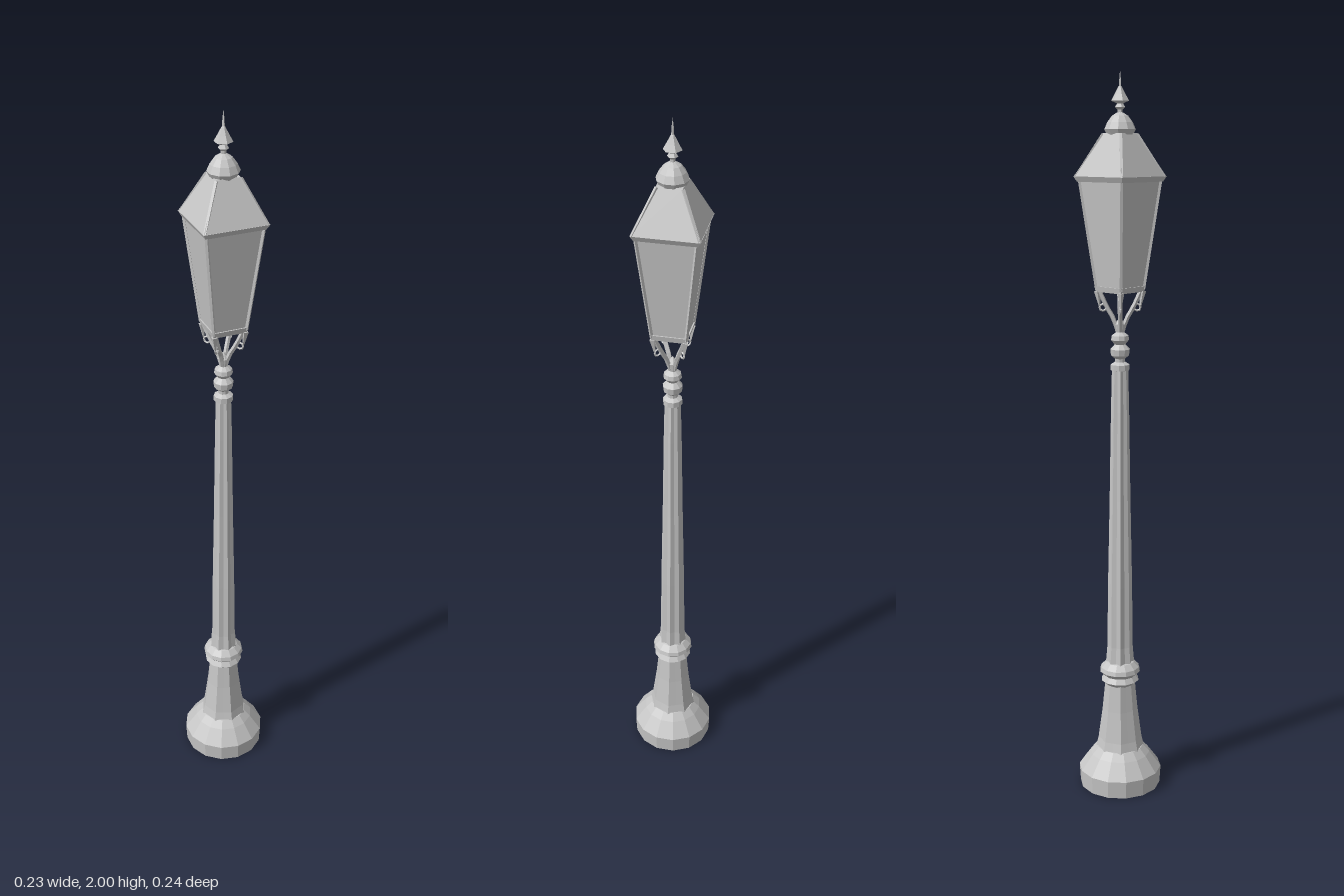
import * as THREE from 'three';

export function createModel() {
  const model = new THREE.Group();
  const iron = new THREE.MeshStandardMaterial({ color: 0xc6c6c6, flatShading: true });
  iron.name = 'greyIron';

  const add = (name, geometry, parent = model) => {
    const mesh = new THREE.Mesh(geometry, iron);
    mesh.name = name;
    parent.add(mesh);
    return mesh;
  };

  // Turned part from [radius, height] pairs, bottom to top; flute < 1 pulls in every other edge
  const turned = (name, profile, sides, flute = 1) => {
    const geometry = new THREE.LatheGeometry(profile.map(([r, y]) => new THREE.Vector2(r, y)), sides);
    const p = geometry.attributes.position;
    for (let i = 0; i < p.count; i++) {
      if (Math.floor(i / profile.length) % 2) p.setXYZ(i, p.getX(i) * flute, p.getY(i), p.getZ(i) * flute);
    }
    return add(name, geometry);
  };

  // Square tapered block given half widths at the bottom and top
  const squareTaper = (name, lower, upper, y0, y1) => {
    const geometry = new THREE.CylinderGeometry(upper * Math.SQRT2, lower * Math.SQRT2, y1 - y0, 4);
    geometry.rotateY(Math.PI / 4).translate(0, (y0 + y1) / 2, 0);
    return add(name, geometry);
  };

  // Straight bar between two points
  const bar = (name, a, b, radius, parent) => {
    const direction = b.clone().sub(a);
    const mesh = add(name, new THREE.CylinderGeometry(radius, radius, direction.length(), 4), parent);
    mesh.position.copy(a).add(b).multiplyScalar(0.5);
    mesh.quaternion.setFromUnitVectors(new THREE.Vector3(0, 1, 0), direction.normalize());
  };

  // Foot and pedestal
  turned('foot', [[0, 0], [0.115, 0], [0.118, 0.05], [0.085, 0.095], [0.066, 0.115], [0, 0.12]], 14);
  turned('pedestal', [[0.07, 0.105], [0.062, 0.14], [0.05, 0.23], [0.042, 0.315], [0, 0.32]], 16, 0.92);
  turned('pedestalRing', [[0, 0.3], [0.04, 0.305], [0.054, 0.318], [0.045, 0.332], [0.058, 0.345],
    [0.055, 0.357], [0.04, 0.372], [0, 0.385]], 12);

  // Fluted post
  turned('post', [[0.041, 0.36], [0.036, 0.42], [0.034, 0.6], [0.029, 0.85], [0.025, 1.1], [0.022, 1.225], [0, 1.225]], 16, 0.85);

  // Collar rings and neck
  turned('collar', [[0, 1.21], [0.026, 1.215], [0.026, 1.23], [0.014, 1.237], [0.014, 1.246], [0.025, 1.255],
    [0.027, 1.272], [0.015, 1.285], [0.025, 1.297], [0.023, 1.309], [0.011, 1.318], [0.014, 1.34], [0, 1.36]], 10);

  // Four branching arms with a drooping leaf at each lantern corner
  const cradle = new THREE.Group();
  cradle.name = 'lanternCradle';
  model.add(cradle);
  for (let i = 0; i < 4; i++) {
    const arm = new THREE.Group();
    arm.name = 'cradleArm';
    arm.rotation.y = Math.PI / 4 + i * Math.PI / 2;
    cradle.add(arm);
    const armPath = new THREE.CatmullRomCurve3([[0.006, 1.32], [0.018, 1.355], [0.035, 1.385], [0.058, 1.435]]
      .map(([x, y]) => new THREE.Vector3(x, y, 0)));
    add('armStem', new THREE.TubeGeometry(armPath, 6, 0.0065, 5), arm);
    const leaf = add('armLeaf', new THREE.ConeGeometry(0.009, 0.055, 4), arm);
    leaf.position.set(0.057, 1.402, 0);
    leaf.rotation.z = Math.PI - 0.15;
    const scroll = add('armScroll', new THREE.TorusGeometry(0.009, 0.003, 4, 8), arm);
    scroll.position.set(0.046, 1.385, 0);
  }

  // Glazed lantern body with its sill and corner frames
  squareTaper('lanternBody', 0.044, 0.075, 1.43, 1.72);
  squareTaper('lanternSill', 0.046, 0.049, 1.427, 1.442);
  const frame = new THREE.Group();
  frame.name = 'lanternFrame';
  model.add(frame);
  const corners = (half, y) => [[1, 1], [1, -1], [-1, -1], [-1, 1]].map(([x, z]) => new THREE.Vector3(x * half, y, z * half));
  const low = corners(0.045, 1.435), high = corners(0.076, 1.72);
  const eave = corners(0.083, 1.728), crown = corners(0.032, 1.838);
  for (let i = 0; i < 4; i++) {
    bar('cornerBar', low[i], high[i], 0.005, frame);
    bar('roofRib', eave[i], crown[i], 0.005, frame);
    bar('topRail', high[i], high[(i + 1) % 4], 0.004, frame);
  }

  // Roof with a thin eave
  squareTaper('eave', 0.08, 0.087, 1.716, 1.73);
  squareTaper('roof', 0.086, 0.032, 1.73, 1.84);

  // Vent cap, finial and spike
  turned('ventCap', [[0, 1.83], [0.034, 1.835], [0.042, 1.85], [0.034, 1.868], [0.022, 1.884], [0.009, 1.892], [0, 1.895]], 10);
  turned('finial', [[0.007, 1.885], [0.007, 1.9], [0.014, 1.906], [0.008, 1.915], [0.024, 1.922], [0.015, 1.938], [0.005, 1.957], [0, 1.962]], 6);
  turned('spike', [[0.004, 1.95], [0.003, 1.975], [0, 2]], 4);

  return model;
}
